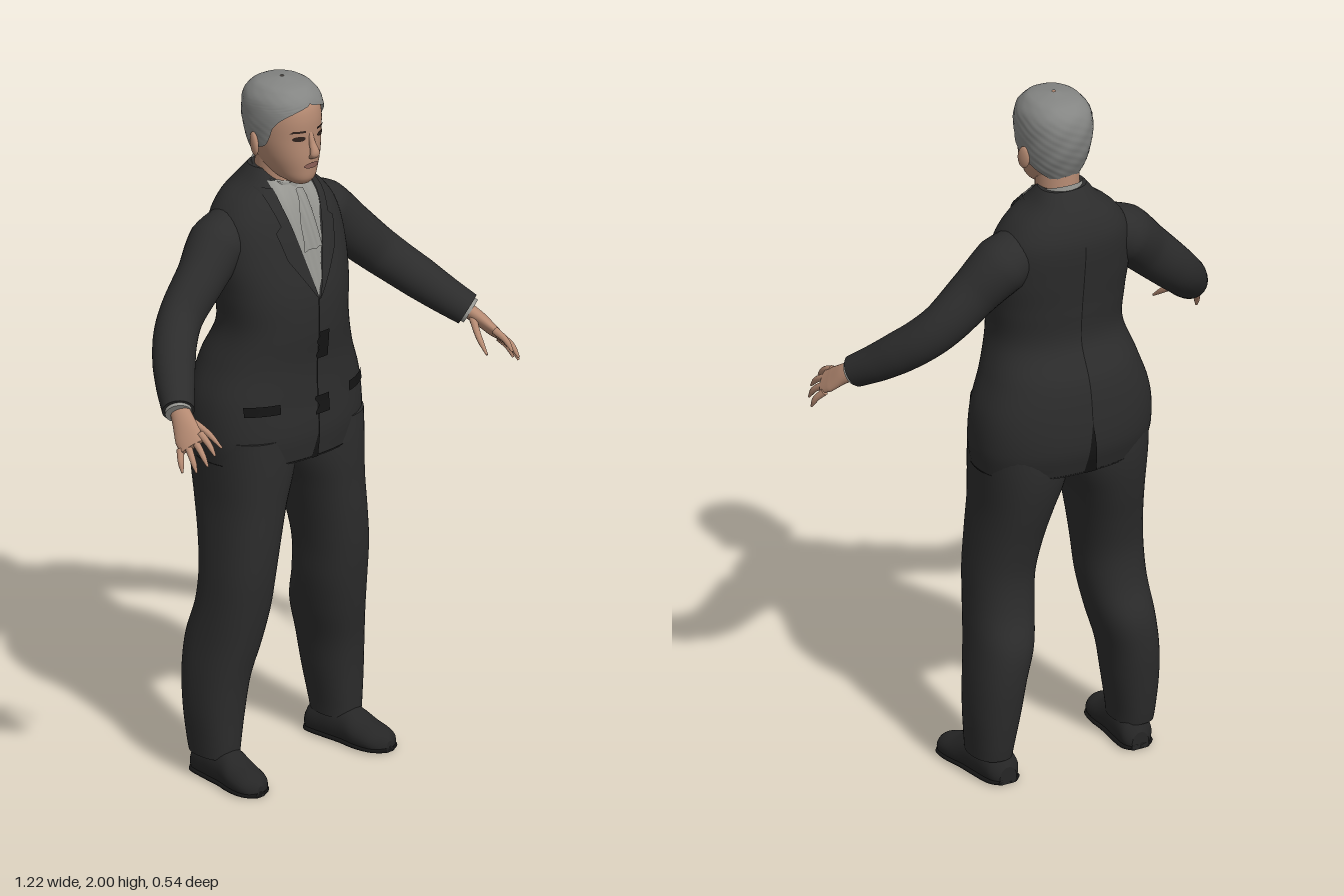
import * as THREE from 'three';

const V = (x, y, z) => new THREE.Vector3(x, y, z);
const mat = (name, color, side = THREE.FrontSide) => {
  const m = new THREE.MeshStandardMaterial({ color, side });
  m.name = name;
  return m;
};

// Smoothly interpolate a table of rows keyed by the first column
function at(rows, k) {
  let i = 0;
  while (i < rows.length - 2 && rows[i + 1][0] < k) i++;
  const a = rows[i], b = rows[i + 1], p = rows[i - 1] || a, q = rows[i + 2] || b;
  const h = b[0] - a[0], t = Math.min(1, Math.max(0, (k - a[0]) / h)), t2 = t * t, t3 = t2 * t;
  return a.map((_, c) => {
    const ma = (b[c] - p[c]) / (b[0] - p[0]) * h, mb = (q[c] - a[c]) / (q[0] - a[0]) * h;
    return a[c] * (2 * t3 - 3 * t2 + 1) + b[c] * (3 * t2 - 2 * t3) + ma * (t3 - 2 * t2 + t) + mb * (t3 - t2);
  });
}

// Skin a stack of point rows; closed rows wrap round and may be capped
function skin(rings, closed = true, caps = closed) {
  const n = rings[0].length, pos = [], idx = [];
  rings.forEach(r => r.forEach(p => pos.push(p.x, p.y, p.z)));
  for (let i = 0; i < rings.length - 1; i++)
    for (let j = 0; j < (closed ? n : n - 1); j++) {
      const k = (j + 1) % n, a = i * n + j, b = i * n + k;
      idx.push(a, b, b + n, a, b + n, a + n);
    }
  if (caps) [[0, 1], [rings.length - 1, 0]].forEach(([i, flip]) => {
    const c = rings[i].reduce((s, p) => s.add(p), V(0, 0, 0)).divideScalar(n), base = pos.length / 3;
    rings[i].forEach(p => pos.push(p.x, p.y, p.z));
    pos.push(c.x, c.y, c.z);
    for (let j = 0; j < n; j++) {
      const a = base + j, b = base + (j + 1) % n;
      flip ? idx.push(b, a, base + n) : idx.push(a, b, base + n);
    }
  });
  const g = new THREE.BufferGeometry();
  g.setAttribute('position', new THREE.Float32BufferAttribute(pos, 3));
  g.setIndex(idx);
  g.computeVertexNormals();
  return g;
}

// Point on a horizontal superellipse section: [y, halfWidth, zFront, zBack, xCentre]
function sectionPoint([y, w, zf, zb, cx = 0], angle, n) {
  const s = Math.sin(angle), c = Math.cos(angle), e = 2 / n;
  return V(cx + w * Math.sign(s) * Math.abs(s) ** e, y,
    (zf + zb) / 2 + (zf - zb) / 2 * Math.sign(c) * Math.abs(c) ** e);
}

function loft(rows, n = 2.3, steps = 40, segs = 48) {
  const y0 = rows[0][0], y1 = rows[rows.length - 1][0], rings = [];
  for (let i = 0; i <= steps; i++) {
    const sec = at(rows, y0 + (y1 - y0) * i / steps);
    rings.push(Array.from({ length: segs }, (_, j) => sectionPoint(sec, j / segs * Math.PI * 2, n)));
  }
  return skin(rings);
}

// Thin panel lying on the front (dir 1) or back (dir -1) of a lofted body
function panel(rows, n, y0, y1, edgeA, edgeB, off, dir = 1, ripple = 0) {
  const rings = [], ny = 20, nx = 16;
  for (let i = 0; i <= ny; i++) {
    const y = y0 + (y1 - y0) * i / ny, [, w, zf, zb] = at(rows, y), row = [];
    const lo = Math.min(edgeA(y), edgeB(y)), hi = Math.max(edgeA(y), edgeB(y));
    for (let j = 0; j <= nx; j++) {
      const f = j / nx, x = dir > 0 ? lo + (hi - lo) * f : hi - (hi - lo) * f;
      const c = Math.max(0, 1 - Math.min(1, Math.abs(x / w)) ** n) ** (1 / n);
      row.push(V(x, y, (zf + zb) / 2 + dir * ((zf - zb) / 2 * c + off + ripple * Math.sin(x * 170 + y * 25))));
    }
    rings.push(row);
  }
  return skin(rings, false);
}

// Tapered sweep along a path; radii are [along side, across side]
function sweep(pts, radii, side, steps = 24, segs = 20) {
  const curve = new THREE.CatmullRomCurve3(pts), rings = [];
  for (let i = 0; i <= steps; i++) {
    const u = i / steps, f = u * (radii.length - 1), k = Math.min(radii.length - 2, Math.floor(f));
    const r = [0, 1].map(c => THREE.MathUtils.lerp(radii[k][c], radii[k + 1][c], f - k));
    const p = curve.getPoint(u), t = curve.getTangent(u);
    const s = side.clone().addScaledVector(t, -t.dot(side)).normalize(), nrm = t.clone().cross(s);
    rings.push(Array.from({ length: segs }, (_, j) => {
      const a = j / segs * Math.PI * 2;
      return p.clone().addScaledVector(s, r[0] * Math.cos(a)).addScaledVector(nrm, r[1] * Math.sin(a));
    }));
  }
  return skin(rings);
}

// Body tables: height, half width, front z, back z
const TORSO = [[0.925, 0.252, 0.08, -0.245], [1, 0.262, 0.088, -0.266], [1.1, 0.255, 0.082, -0.266],
  [1.2, 0.222, 0.08, -0.25], [1.3, 0.192, 0.088, -0.207], [1.4, 0.197, 0.084, -0.21], [1.5, 0.204, 0.062, -0.222],
  [1.6, 0.19, 0.034, -0.23], [1.66, 0.15, 0.01, -0.215], [1.7, 0.1, -0.015, -0.19], [1.74, 0.068, -0.05, -0.157]];
const HEAD = [[1.715, 0.026, 0.04, -0.02], [1.73, 0.046, 0.053, -0.07], [1.76, 0.064, 0.058, -0.12],
  [1.8, 0.079, 0.06, -0.145], [1.85, 0.089, 0.058, -0.16], [1.91, 0.091, 0.057, -0.165],
  [1.95, 0.083, 0.043, -0.155], [1.975, 0.06, 0.01, -0.12], [1.985, 0.02, -0.03, -0.08]];
const HAIR = [[1.765, 0.07, 0.05, -0.135], [1.8, 0.086, 0.06, -0.152], [1.85, 0.096, 0.064, -0.17],
  [1.91, 0.1, 0.064, -0.177], [1.95, 0.095, 0.053, -0.17], [1.975, 0.079, 0.034, -0.152],
  [1.992, 0.055, 0.005, -0.12], [2, 0.005, -0.055, -0.065]];
// Hairline: height, angle away from the front
const HAIRLINE = [[1.765, 2.55], [1.785, 2.2], [1.81, 1.75], [1.83, 1.4], [1.86, 1.22], [1.89, 1.1],
  [1.915, 0.85], [1.935, 0.45], [1.95, 0], [2, 0]];
// Leg: height, half width, front z, back z, centre x
const LEG = [[0.07, 0.056, -0.01, -0.165, 0.222], [0.1, 0.059, -0.008, -0.172, 0.222], [0.2, 0.071, -0.003, -0.188, 0.217],
  [0.3, 0.077, 0.008, -0.2, 0.208], [0.4, 0.085, 0.028, -0.2, 0.19], [0.5, 0.089, 0.046, -0.172, 0.177],
  [0.6, 0.09, 0.06, -0.165, 0.17], [0.7, 0.094, 0.067, -0.183, 0.158], [0.8, 0.103, 0.07, -0.21, 0.143],
  [0.88, 0.118, 0.073, -0.228, 0.13], [0.94, 0.125, 0.073, -0.235, 0.125], [1, 0.125, 0.07, -0.235, 0.125]];
// Shoe: z, half width, top height
const SHOE = [[-0.17, 0.026, 0.05], [-0.15, 0.045, 0.085], [-0.08, 0.05, 0.11], [-0.02, 0.05, 0.1],
  [0.03, 0.055, 0.075], [0.08, 0.05, 0.06], [0.105, 0.033, 0.048], [0.115, 0.012, 0.032]];

export function createModel() {
  const model = new THREE.Group();
  const D = THREE.DoubleSide;
  const suit = mat('charcoal suit', 0x2c2c2c, D), dark = mat('black trim', 0x141414, D);
  const shoeMat = mat('shoe leather', 0x262626), shirt = mat('grey shirt', 0x969691, D);
  const skinMat = mat('skin', 0xb58a72), hairMat = mat('grey hair', 0x848583, D);
  const lipMat = mat('lips', 0x8f6258, D), eyeMat = mat('dark eyes', 0x2e211c, D);
  const add = (name, geo, m) => {
    const mesh = new THREE.Mesh(geo, m);
    mesh.name = name;
    model.add(mesh);
    return mesh;
  };

  // Jacket with shirt front, closing seam, button folds and back vent
  add('jacket', loft(TORSO, 2.3, 60, 64), suit);
  const opening = y => 0.068 * Math.min(1, Math.max(0, (y - 1.39) / 0.27)) ** 0.9;
  add('shirtFront', panel(TORSO, 2.3, 1.39, 1.715, y => -opening(y), opening, 0.005, 1, 0.003), shirt);
  add('cravat', panel(TORSO, 2.3, 1.53, 1.69, y => -0.012 - (1.69 - y) * 0.15, y => 0.014 + (1.69 - y) * 0.12, 0.014, 1, 0.004), shirt);
  add('frontSeam', panel(TORSO, 2.3, 0.926, 1.39, y => -0.003 - Math.max(0, 1 - y) * 0.25, () => 0.002, 0.003), dark);
  [[1.255, 0.04, 0.022], [1.08, 0.026, 0.026]].forEach(([y, h, w]) => add('buttonFold',
    panel(TORSO, 2.3, y - h, y + h, t => 0.012 - w * (0.75 + 0.25 * Math.sin(t * 150)), () => 0.012 + w, 0.007), dark));
  add('backVent', panel(TORSO, 2.3, 0.926, 1.09, y => -(1.09 - y) * 0.14, y => (1.09 - y) * 0.1, 0.003, -1), dark);
  add('backSeam', panel(TORSO, 2.3, 1.09, 1.6, () => -0.0015, () => 0.0015, 0.002, -1), dark);
  add('hemEdge', loft([[0.924, 0.249, 0.077, -0.242], [0.93, 0.254, 0.082, -0.247]], 2.3, 1, 64), dark);

  // Shirt collar, dipping at the front
  add('shirtCollar', skin([0, 1].map(i => Array.from({ length: 40 }, (_, j) => {
    const a = j / 40 * Math.PI * 2;
    return V((0.074 - i * 0.008) * Math.sin(a), 1.68 + i * 0.05 - 0.025 * Math.cos(a), -0.08 + (0.08 - i * 0.007) * Math.cos(a));
  })), true, false), shirt);

  // Neck, head and hair
  add('neck', loft([[1.64, 0.062, -0.01, -0.145], [1.7, 0.06, -0.013, -0.145], [1.8, 0.06, -0.015, -0.14]], 2, 8, 32), skinMat);
  add('head', loft(HEAD, 2.15, 40, 48), skinMat);
  const hairRows = [];
  for (let i = 0; i <= 44; i++) {
    const y = 1.765 + 0.235 * i / 44, sec = at(HAIR, y), a0 = Math.max(0, at(HAIRLINE, y)[1]);
    hairRows.push(Array.from({ length: 65 }, (_, j) => {
      const a = a0 + (2 * Math.PI - 2 * a0) * j / 64, p = sectionPoint(sec, a, 2.2);
      const bump = 1 + 0.012 * Math.sin(a * 11 + y * 90) * Math.sin(y * 170 + a * 3);
      return V(p.x * bump, p.y, -0.055 + (p.z + 0.055) * bump);
    }));
  }
  add('hair', skin(hairRows, false), hairMat);

  // Face
  add('nose', sweep([V(0, 1.872, 0.052), V(0, 1.84, 0.062), V(0, 1.812, 0.073), V(0, 1.798, 0.062)],
    [[0.007, 0.005], [0.009, 0.009], [0.015, 0.012], [0.012, 0.006]], V(1, 0, 0)), skinMat);
  const lipHalf = y => 0.026 * Math.sqrt(Math.max(0, 1 - ((y - 1.775) / 0.0085) ** 2));
  add('lips', panel(HEAD, 2.15, 1.7665, 1.7835, y => -lipHalf(y), lipHalf, 0.004), lipMat);

  for (const s of [1, -1]) {
    const P = (x, y, z) => V(s * x, y, z);
    const eyeHalf = y => 0.017 * Math.sqrt(Math.max(0, 1 - ((y - 1.857) / 0.0075) ** 2));
    add('eye', panel(HEAD, 2.15, 1.8495, 1.8645, y => s * 0.038 - eyeHalf(y), y => s * 0.038 + eyeHalf(y), 0.003), eyeMat);
    add('eyebrow', panel(HEAD, 2.15, 1.874, 1.88, () => s * 0.02, y => s * (0.06 - (y - 1.874)), 0.003), eyeMat);
    const ear = add('ear', new THREE.SphereGeometry(1, 16, 12), skinMat);
    ear.scale.set(0.01, 0.034, 0.02);
    ear.position.set(s * 0.097, 1.826, -0.065);
    ear.rotation.set(-0.15, s * 0.35, 0);

    // Lapel with a notch, and pocket flap
    add('lapel', panel(TORSO, 2.3, 1.39, 1.7, y => s * opening(y),
      y => s * (opening(y) + (y > 1.6 ? 0.03 : 0.052 * Math.min(1, (y - 1.385) / 0.13))), 0.009), suit);
    add('pocketFlap', panel(TORSO, 2.3, 1.08, 1.108, () => s * 0.125, () => s * 0.215, 0.006), dark);

    // Sleeve and cuffs
    add('sleeve', sweep([P(0.1, 1.595, -0.11), P(0.19, 1.545, -0.108), P(0.265, 1.475, -0.092), P(0.355, 1.39, -0.075),
      P(0.405, 1.342, -0.045), P(0.45, 1.297, 0), P(0.49, 1.255, 0.05), P(0.53, 1.215, 0.105)],
    [[0.07, 0.06], [0.085, 0.08], [0.068, 0.072], [0.06, 0.065], [0.061, 0.061], [0.059, 0.058], [0.053, 0.052], [0.044, 0.046]],
    V(0, 0, 1), 48, 28), suit);
    add('shirtCuff', sweep([P(0.52, 1.225, 0.091), P(0.535, 1.21, 0.112)], [[0.037, 0.037], [0.037, 0.037]], V(0, 0, 1), 2), shirt);

    // Hand
    const across = V(s * 0.06, -0.055, -0.07);
    add('palm', sweep([P(0.522, 1.222, 0.095), P(0.542, 1.195, 0.14), P(0.558, 1.168, 0.175), P(0.57, 1.15, 0.205)],
      [[0.026, 0.022], [0.033, 0.019], [0.04, 0.015], [0.036, 0.009]], across), skinMat);
    [
      [P(0.54, 1.18, 0.205), P(0.544, 1.163, 0.243), P(0.545, 1.137, 0.27)],
      [P(0.556, 1.163, 0.2), P(0.567, 1.142, 0.24), P(0.57, 1.112, 0.268)],
      [P(0.572, 1.149, 0.19), P(0.586, 1.122, 0.225), P(0.59, 1.092, 0.245)],
      [P(0.584, 1.137, 0.173), P(0.6, 1.112, 0.192), P(0.606, 1.084, 0.205)],
      [P(0.522, 1.2, 0.135), P(0.498, 1.168, 0.185), P(0.486, 1.132, 0.232)],
    ].forEach((pts, i) => add(i < 4 ? 'finger' : 'thumb',
      sweep(pts, [[0.011, 0.011], [0.0095, 0.0095], [0.008, 0.008], [0.003, 0.003]], across, 10, 10), skinMat));

    // Trouser leg
    add('trouserLeg', loft(LEG.map(([y, w, f, b, c]) => [y, w, f, b, s * c]), 2.3, 48, 40), suit);

    // Shoe and sole, toes turned slightly out
    const shoeRings = (grow, height) => Array.from({ length: 29 }, (_, i) => {
      const [z, w, top] = at(SHOE, -0.17 + 0.285 * i / 28);
      return Array.from({ length: 24 }, (_, j) => {
        const a = j / 24 * Math.PI * 2, h = height || top;
        return V(s * (0.225 + z * 0.1) + (w + grow) * Math.cos(a), Math.max(0, h * (0.4 + 0.6 * Math.sin(a))), z);
      });
    });
    add('shoe', skin(shoeRings(0, 0)), shoeMat);
    add('sole', skin(shoeRings(0.004, 0.018)), dark);
  }
  return model;
}
